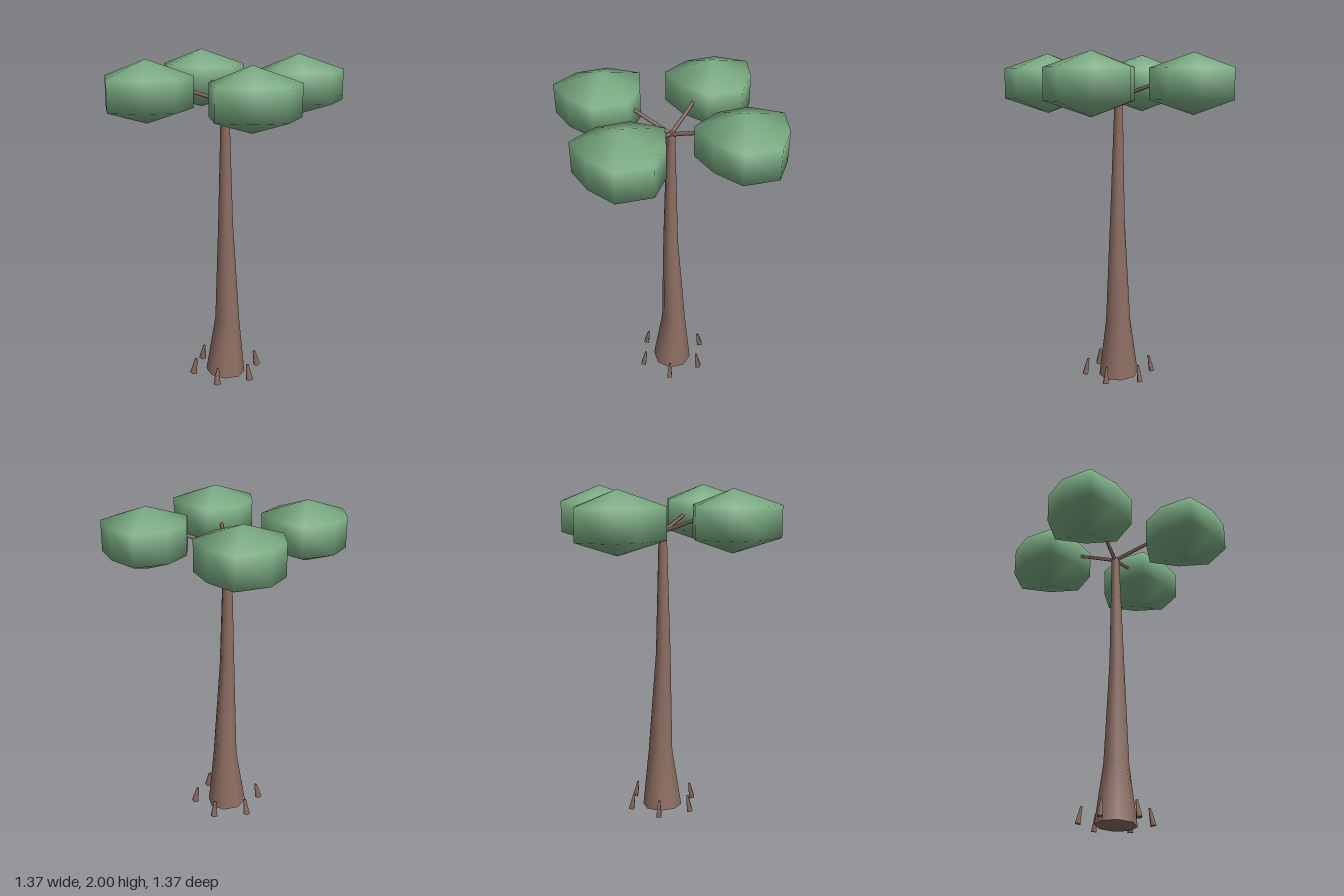
import * as THREE from 'three';
import { mergeVertices, toCreasedNormals } from 'three/addons/utils/BufferGeometryUtils.js';

const bark = new THREE.MeshStandardMaterial({ color: 0x8d6e63 });
const leaf = new THREE.MeshStandardMaterial({ color: 0x7aab82 });
const UP = new THREE.Vector3(0, 1, 0);

function addMesh(parent, name, geometry, material) {
  const mesh = new THREE.Mesh(geometry, material);
  mesh.name = name;
  parent.add(mesh);
  return mesh;
}

// Move every vertex by a rule, then weld so that normals run smoothly across seams
function reshape(geometry, rule) {
  const pos = geometry.attributes.position;
  const v = new THREE.Vector3();
  for (let i = 0; i < pos.count; i++) {
    rule(v.fromBufferAttribute(pos, i));
    pos.setXYZ(i, v.x, v.y, v.z);
  }
  geometry.deleteAttribute('normal');
  geometry.deleteAttribute('uv');
  const welded = mergeVertices(geometry, 1e-4);
  welded.computeVertexNormals();
  return welded;
}

// Tapered cylinder between two points
function taper(a, b, r0, r1, sides) {
  const dir = b.clone().sub(a);
  const g = new THREE.CylinderGeometry(r1, r0, dir.length(), sides);
  g.applyQuaternion(new THREE.Quaternion().setFromUnitVectors(UP, dir.clone().normalize()));
  const mid = a.clone().add(b).multiplyScalar(0.5);
  return g.translate(mid.x, mid.y, mid.z);
}

// Slightly wandering trunk: centre x, height, centre z, radius, tilt of the ring
function trunkGeometry() {
  const rings = [
    [-0.012, 0.008, 0.023, 0.122, -0.06],
    [0.0, 0.37, 0.017, 0.075, -0.1],
    [-0.01, 1.0, 0.03, 0.045, 0],
    [-0.013, 1.75, 0.022, 0.024, 0],
  ];
  const g = reshape(new THREE.CylinderGeometry(1, 1, 3, 8, 3), (v) => {
    const [cx, y, cz, r, tilt] = rings[Math.round(v.y + 1.5)];
    v.set(cx + v.x * r, y + v.x * r * tilt, cz + v.z * r);
  });
  return toCreasedNormals(g, 1);
}

// Flattened eight-sided crown with an uneven outline, starting at +x and turning to +z
function crownGeometry() {
  const radii = [0.265, 0.262, 0.22, 0.272, 0.23, 0.24, 0.275, 0.226];
  return reshape(new THREE.SphereGeometry(1, 8, 3), (v) => {
    const step = Math.round(Math.atan2(v.z, v.x) / (Math.PI / 4));
    const r = radii[(step + 8) % 8] / Math.sin(Math.PI / 3);
    v.set(v.x * r, v.y * 0.18, v.z * r);
  });
}

export function createModel() {
  const tree = new THREE.Group();
  tree.name = 'tree';
  addMesh(tree, 'trunk', trunkGeometry(), bark);

  // Crowns, each carried by a branch
  const fork = new THREE.Vector3(-0.013, 1.74, 0.022);
  const crown = crownGeometry();
  for (const [x, z] of [[-0.17, -0.41], [0.42, -0.135], [-0.45, 0.18], [0.14, 0.46]]) {
    const centre = new THREE.Vector3(x, 1.82, z);
    const tip = fork.clone().lerp(centre, 0.65).setY(1.845);
    addMesh(tree, 'branch', taper(fork, tip, 0.013, 0.01, 5), bark);
    addMesh(tree, 'crown', crown, leaf).position.copy(centre);
  }

  // Ring of six root stubs leaning towards the trunk
  for (let i = 0; i < 6; i++) {
    const a = THREE.MathUtils.degToRad(43 + 60 * i);
    const at = (r, y) => new THREE.Vector3(-0.012 + Math.cos(a) * r, y, 0.022 + Math.sin(a) * r);
    addMesh(tree, 'rootStub', taper(at(0.212, 0.013), at(0.192, 0.113), 0.022, 0.008, 4), bark);
  }
  return tree;
}
